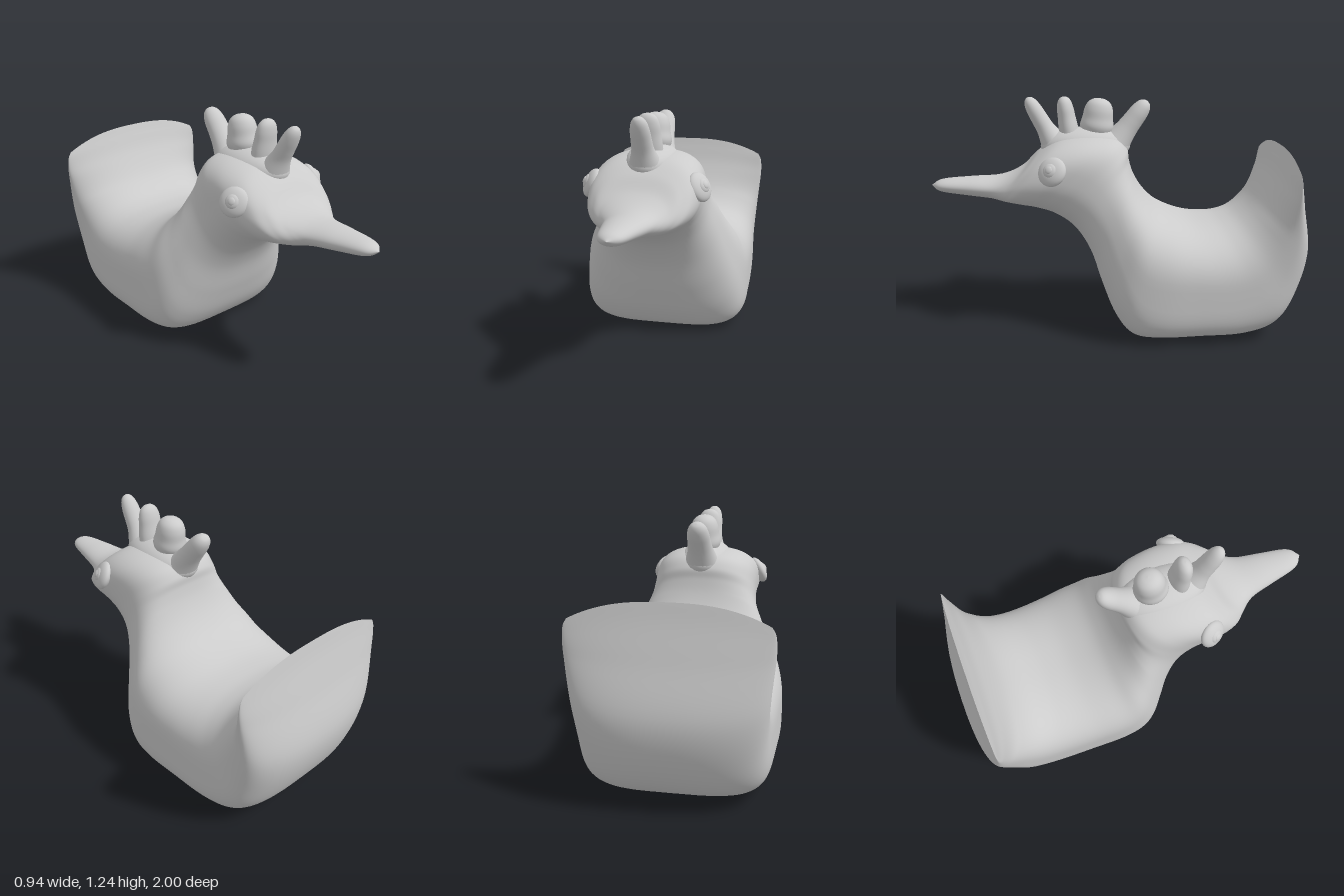
import * as THREE from 'three';

const grey = new THREE.MeshStandardMaterial({ color: 0xcccccc, side: THREE.DoubleSide });

// Body rings from tail crest to beak tip:
// [upper z, upper y, lower z, lower y, half width, squareness of the lower half]
const RINGS = [
  [-0.88, 0.99, -0.88, 0.99, 0.447, 2.2],
  [-0.86, 0.93, -0.90, 0.89, 0.465, 2.2],
  [-0.82, 0.83, -0.94, 0.73, 0.468, 2.2],
  [-0.74, 0.70, -1.00, 0.47, 0.45, 2.4],
  [-0.65, 0.625, -0.95, 0.24, 0.44, 2.9],
  [-0.56, 0.595, -0.84, 0.08, 0.445, 3.8],
  [-0.47, 0.59, -0.66, 0.022, 0.45, 4.6],
  [-0.38, 0.60, -0.42, 0.015, 0.457, 5],
  [-0.29, 0.63, -0.20, 0.008, 0.464, 4.8],
  [-0.215, 0.67, -0.06, 0.02, 0.455, 4],
  [-0.16, 0.72, 0.025, 0.11, 0.43, 3.3],
  [-0.115, 0.78, 0.09, 0.26, 0.38, 2.8],
  [-0.08, 0.85, 0.15, 0.43, 0.33, 2.5],
  [-0.06, 0.92, 0.235, 0.56, 0.292, 2.4],
  [-0.05, 0.98, 0.34, 0.635, 0.28, 2.4],
  [0.01, 1.035, 0.44, 0.67, 0.28, 2.5],
  [0.15, 1.055, 0.52, 0.685, 0.282, 2.5],
  [0.30, 1.035, 0.58, 0.695, 0.258, 2.5],
  [0.41, 0.97, 0.62, 0.70, 0.21, 2.4],
  [0.50, 0.885, 0.67, 0.71, 0.158, 2.2],
  [0.62, 0.835, 0.72, 0.715, 0.12, 2],
  [0.78, 0.825, 0.82, 0.727, 0.092, 2],
  [0.94, 0.812, 0.95, 0.747, 0.058, 2],
  [1.00, 0.78, 1.00, 0.78, 0, 2],
];

// Smooth skin through the rings, each a superellipse spanning upper to lower point
function bodyGeometry(rows = 161, cols = 80) {
  const curve = pick => new THREE.CatmullRomCurve3(
    RINGS.map(r => new THREE.Vector3(...pick(r))), false, 'catmullrom', 0.5);
  const upper = curve(r => [0, r[1], r[0]]);
  const lower = curve(r => [0, r[3], r[2]]);
  const shape = curve(r => [r[4], r[5], 0]);
  const pos = [], index = [];
  const power = (v, n) => Math.sign(v) * Math.abs(v) ** (2 / n);
  for (let i = 0; i <= rows; i++) {
    const t = i / rows;
    const u = upper.getPoint(t), l = lower.getPoint(t), s = shape.getPoint(t);
    // The tail crest droops towards its sides, fading out down the tail
    const droop = 0.09 * Math.max(0, 1 - t * 10);
    for (let j = 0; j < cols; j++) {
      const a = (j / cols) * Math.PI * 2;
      // The upper half stays rounder than the lower half
      const n = Math.sin(a) > 0 ? Math.min(s.y, 2.5) : s.y;
      const c = power(Math.cos(a), n), h = (power(Math.sin(a), n) + 1) / 2;
      const p = l.clone().lerp(u, h);
      pos.push(c * s.x, Math.max(0, p.y - droop * Math.abs(c) ** 2.6), p.z);
      if (i < rows) {
        const k = i * cols + j, m = i * cols + (j + 1) % cols;
        index.push(k, m, k + cols, m, m + cols, k + cols);
      }
    }
  }
  const g = new THREE.BufferGeometry();
  g.setAttribute('position', new THREE.Float32BufferAttribute(pos, 3));
  g.setIndex(index);
  g.computeVertexNormals();
  return g;
}

// Rounded comb finger with a flared root; base and tip are [z, y]
function combFinger(base, tip, radius, widthScale, flare) {
  const from = new THREE.Vector3(0, base[1], base[0]);
  const dir = new THREE.Vector3(0, tip[1], tip[0]).sub(from);
  const len = dir.length();
  const profile = new THREE.SplineCurve([
    [flare, -0.1], [flare * 0.8, 0.12], [1.12, 0.35], [1.02, 0.55],
    [0.95, 0.74], [0.76, 0.89], [0.42, 0.975], [0, 1],
  ].map(([r, h]) => new THREE.Vector2(r * radius, h * len)));
  const mesh = new THREE.Mesh(new THREE.LatheGeometry(profile.getPoints(32), 28), grey);
  mesh.scale.x = widthScale;
  mesh.position.copy(from);
  mesh.rotation.x = Math.atan2(dir.z, dir.y);
  return mesh;
}

// Flattened eyeball with a raised iris and pupil, looking along +z
function eye() {
  const group = new THREE.Group();
  for (const [name, r, depth, z] of [
    ['eyeball', 0.076, 0.036, 0], ['iris', 0.037, 0.018, 0.026], ['pupil', 0.02, 0.009, 0.039],
  ]) {
    const part = new THREE.Mesh(new THREE.SphereGeometry(r, 28, 18), grey);
    part.name = name;
    part.scale.z = depth / r;
    part.position.z = z;
    group.add(part);
  }
  return group;
}

export function createModel() {
  const model = new THREE.Group();
  model.name = 'bird';

  const body = new THREE.Mesh(bodyGeometry(), grey);
  body.name = 'body';
  model.add(body);

  // Comb: a low mound on the head, then the fingers front to back
  const comb = new THREE.Group();
  comb.name = 'comb';
  const root = new THREE.Mesh(new THREE.SphereGeometry(1, 32, 20), grey);
  root.name = 'combRoot';
  root.scale.set(0.14, 0.1, 0.24);
  root.position.set(0, 0.99, 0.17);
  comb.add(root);
  [
    [[0.33, 0.99], [0.475, 1.245], 0.044, 1.15, 1.9],
    [[0.25, 1.01], [0.285, 1.25], 0.046, 1.4, 1.5],
    [[0.12, 1.01], [0.09, 1.24], 0.08, 0.95, 1.15],
    [[0.01, 1.0], [-0.16, 1.225], 0.052, 1.15, 1.7],
  ].forEach((f, i) => {
    const finger = combFinger(...f);
    finger.name = 'combFinger' + (i + 1);
    comb.add(finger);
  });
  model.add(comb);

  // Eyes, turned outward, upward and forward
  for (const side of [1, -1]) {
    const e = eye();
    e.name = side > 0 ? 'leftEye' : 'rightEye';
    e.position.set(side * 0.275, 0.9, 0.34);
    e.quaternion.setFromUnitVectors(
      new THREE.Vector3(0, 0, 1), new THREE.Vector3(side * 0.82, 0.42, 0.39).normalize());
    model.add(e);
  }
  return model;
}
